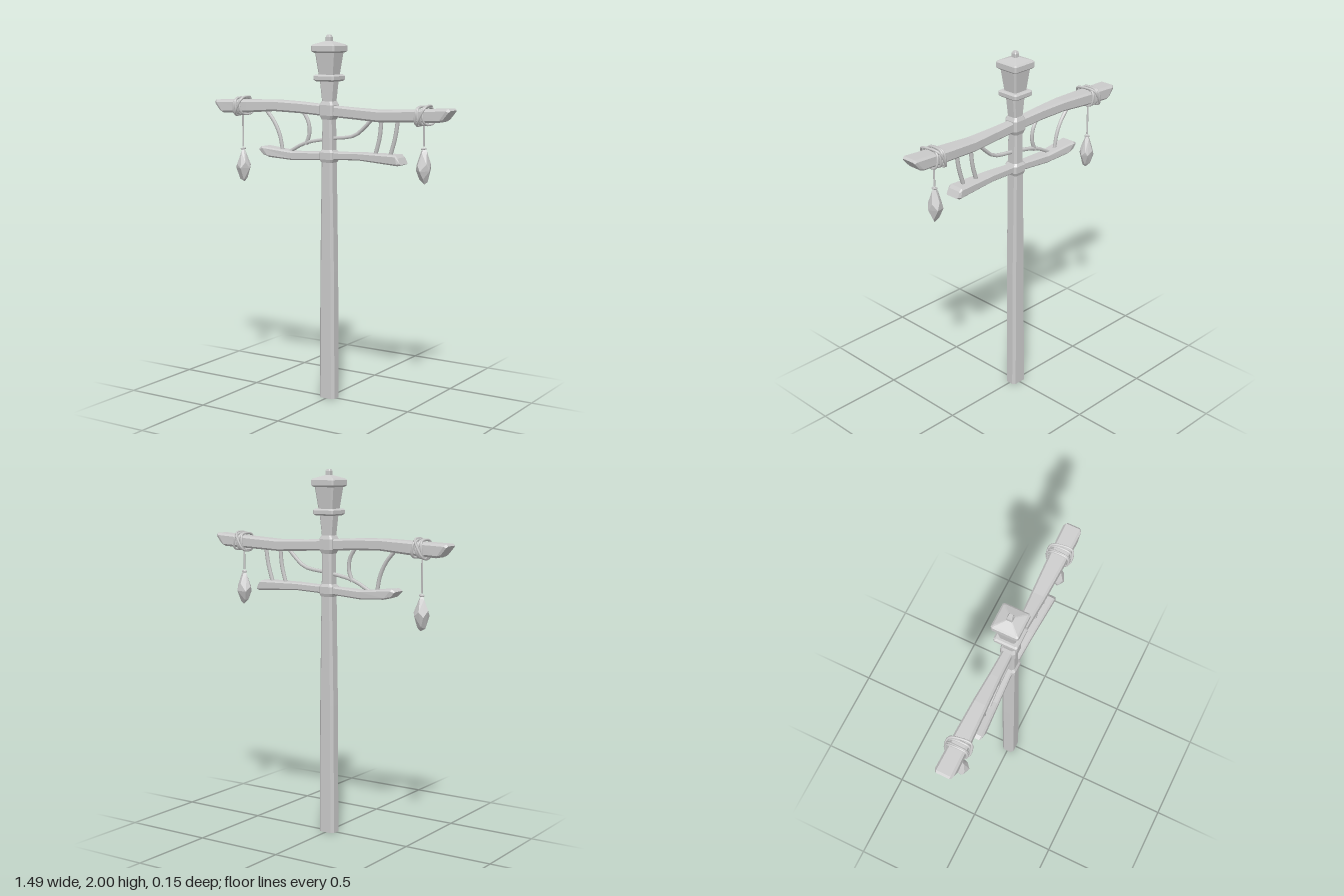
import * as THREE from 'three';
import { ConvexGeometry } from 'three/addons/geometries/ConvexGeometry.js';

const flat = new THREE.MeshStandardMaterial({ color: 0xcccccc, flatShading: true });
const smooth = new THREE.MeshStandardMaterial({ color: 0xcccccc });
const V = (x, y, z = 0) => new THREE.Vector3(x, y, z);

function add(parent, name, geometry, material = flat) {
  const mesh = new THREE.Mesh(geometry, material);
  mesh.name = name;
  parent.add(mesh);
  return mesh;
}

// Skins a row of equal-length point loops, with optional end caps
function loft(rings, capStart = true, capEnd = true) {
  const pos = [];
  const tri = (...pts) => pts.forEach((p) => pos.push(p.x, p.y, p.z));
  const n = rings[0].length;
  const cap = (ring, flip) => {
    const c = ring.reduce((s, p) => s.add(p), V(0, 0)).divideScalar(n);
    for (let i = 0; i < n; i++) {
      const a = ring[i], b = ring[(i + 1) % n];
      if (flip) tri(c, b, a); else tri(c, a, b);
    }
  };
  for (let k = 0; k + 1 < rings.length; k++) {
    for (let i = 0; i < n; i++) {
      const j = (i + 1) % n;
      const a = rings[k], b = rings[k + 1];
      tri(a[i], a[j], b[j]);
      tri(a[i], b[j], b[i]);
    }
  }
  if (capStart) cap(rings[0], true);
  if (capEnd) cap(rings[rings.length - 1], false);
  const g = new THREE.BufferGeometry();
  g.setAttribute('position', new THREE.Float32BufferAttribute(pos, 3));
  g.computeVertexNormals();
  return g;
}

// Counter-clockwise rectangle with cut corners, as [u, v] pairs
function octagon(hu, hv, c) {
  return [[hu, -hv + c], [hu, hv - c], [hu - c, hv], [-hu + c, hv],
    [-hu, hv - c], [-hu, -hv + c], [-hu + c, -hv], [hu - c, -hv]];
}

// Upright piece: rows of [y, half width, half depth, corner cut]
const upright = (rows, capBottom = true) => loft(rows.map(([y, hx, hz, c]) =>
  octagon(hx, hz, c).map(([u, v]) => V(u, y, -v))), capBottom);

// Crosswise piece: rows of [x top, y top, x bottom, y bottom, half depth]
const beam = (rows) => loft(rows.map(([xt, yt, xb, yb, hz]) => {
  const h = (yt - yb) / 2;
  return octagon(h, hz, Math.min(h, hz) * 0.32).map(([u, v]) => {
    const t = (u + h) / (2 * h);
    return V(xb + (xt - xb) * t, yb + u + h, v);
  });
}));

const tube = (pts, r, closed = false) => new THREE.TubeGeometry(
  new THREE.CatmullRomCurve3(pts, closed), closed ? 40 : 14, r, 6, closed);

// Faceted crystal with staggered, slightly uneven rings of corners
function crystal(seed) {
  let s = seed;
  const rnd = () => (s = (s * 16807) % 2147483647) / 2147483647;
  const pts = [V(0, 0), V(0.006, -0.198)];
  [[-0.03, 0.017, 4], [-0.09, 0.039, 5], [-0.125, 0.043, 5], [-0.178, 0.021, 4]].forEach(([y, r, n], k) => {
    for (let i = 0; i < n; i++) {
      const a = (i + k * 0.5 + rnd() * 0.3) / n * Math.PI * 2;
      const q = r * (0.9 + rnd() * 0.2);
      pts.push(V(Math.cos(a) * q, y + (rnd() - 0.5) * 0.02, Math.sin(a) * q));
    }
  });
  return new ConvexGeometry(pts);
}

// Rope wound round the beam, with a crystal on a string
function charm(name, x, beamY, topY, seed) {
  const g = new THREE.Group();
  g.name = name;
  const turns = [[-0.024, 0.005], [-0.008, -0.004], [0.008, 0.006], [0.024, -0.006], [0, 0.022]];
  turns.forEach(([dx, tilt], i) => {
    const grow = i === 4 ? 0.006 : 0;
    const pts = octagon(0.041 + grow, 0.055 + grow, 0.016).map(([u, v]) =>
      V(x + dx + tilt * (u / 0.041 + 0.4 * v / 0.055), beamY + u, v));
    add(g, 'ropeTurn', tube(pts, 0.0065, true), smooth);
  });
  const len = beamY - 0.03 - topY;
  add(g, 'string', new THREE.CylinderGeometry(0.005, 0.005, len, 6), smooth)
    .position.set(x, topY + len / 2, 0);
  const knot = add(g, 'knot', new THREE.TorusGeometry(0.011, 0.005, 5, 10), smooth);
  knot.position.set(x, topY - 0.012, 0);
  knot.rotation.set(Math.PI / 2, 0.2, 0);
  add(g, 'crystal', crystal(seed)).position.set(x, topY, 0);
  return g;
}

export function createModel() {
  const model = new THREE.Group();
  model.name = 'signPost';

  // Shaft, open at the foot, with flared sleeves where the beams cross
  add(model, 'post', upright([
    [0, 0.048, 0.036, 0.014], [0.72, 0.044, 0.036, 0.014], [1.32, 0.034, 0.034, 0.011],
    [1.57, 0.029, 0.032, 0.01], [1.64, 0.031, 0.03, 0.008], [1.765, 0.044, 0.034, 0.008],
  ], false));
  add(model, 'upperSleeve', upright([
    [1.55, 0.032, 0.034, 0.009], [1.572, 0.042, 0.042, 0.01],
    [1.628, 0.042, 0.042, 0.01], [1.648, 0.032, 0.034, 0.009]]));
  add(model, 'lowerSleeve', upright([
    [1.318, 0.035, 0.036, 0.009], [1.335, 0.042, 0.042, 0.01],
    [1.372, 0.042, 0.042, 0.01], [1.388, 0.031, 0.033, 0.009]]));

  // Finial on top
  const finial = new THREE.Group();
  finial.name = 'finial';
  model.add(finial);
  add(finial, 'ring', upright([
    [1.754, 0.054, 0.054, 0.006], [1.763, 0.065, 0.065, 0.008],
    [1.782, 0.065, 0.065, 0.008], [1.79, 0.056, 0.056, 0.006]]));
  add(finial, 'head', upright([[1.785, 0.044, 0.043, 0.008], [1.915, 0.061, 0.058, 0.01]]));
  add(finial, 'cap', upright([
    [1.905, 0.062, 0.062, 0.008], [1.914, 0.073, 0.073, 0.008],
    [1.942, 0.073, 0.073, 0.008], [1.95, 0.064, 0.064, 0.006], [1.968, 0.014, 0.014, 0.003]]));
  add(finial, 'knob', upright([
    [1.96, 0.015, 0.015, 0.003], [1.988, 0.015, 0.015, 0.003], [2, 0.01, 0.01, 0.003]]));

  // Wavy beams with slanted ends
  add(model, 'upperBeam', beam([
    [-0.746, 1.622, -0.7, 1.568, 0.044], [-0.735, 1.632, -0.68, 1.56, 0.05],
    [-0.52, 1.638, -0.52, 1.568, 0.046], [-0.34, 1.643, -0.34, 1.582, 0.039],
    [-0.18, 1.638, -0.18, 1.577, 0.031], [0, 1.626, 0, 1.566, 0.025],
    [0.16, 1.618, 0.16, 1.558, 0.03], [0.32, 1.612, 0.32, 1.55, 0.038],
    [0.52, 1.622, 0.52, 1.558, 0.046], [0.735, 1.635, 0.68, 1.563, 0.05],
    [0.746, 1.625, 0.7, 1.57, 0.044]]));
  add(model, 'lowerBeam', beam([
    [-0.44, 1.372, -0.41, 1.34, 0.042], [-0.42, 1.385, -0.37, 1.328, 0.048],
    [-0.22, 1.365, -0.22, 1.318, 0.036], [0, 1.374, 0, 1.332, 0.025],
    [0.2, 1.382, 0.2, 1.342, 0.035], [0.43, 1.383, 0.445, 1.327, 0.048],
    [0.445, 1.368, 0.462, 1.334, 0.042]]));

  // Curved struts between the beams
  [
    [[-0.42, 1.59], [-0.36, 1.52], [-0.325, 1.45], [-0.305, 1.36]],
    [[-0.17, 1.59], [-0.135, 1.53], [-0.128, 1.47], [-0.15, 1.405]],
    [[-0.27, 1.355], [-0.16, 1.412], [0, 1.445], [0.16, 1.47], [0.22, 1.515], [0.275, 1.57]],
    [[0.325, 1.57], [0.315, 1.47], [0.285, 1.36]],
    [[0.425, 1.57], [0.408, 1.47], [0.375, 1.36]],
  ].forEach((pts, i) => add(model, 'strut',
    tube(pts.map(([x, y]) => V(x, y)), i < 3 ? 0.0105 : 0.011), smooth));

  // Hanging charms
  model.add(charm('rightCharm', -0.577, 1.602, 1.372, 11));
  model.add(charm('leftCharm', 0.578, 1.593, 1.434, 29));
  return model;
}
